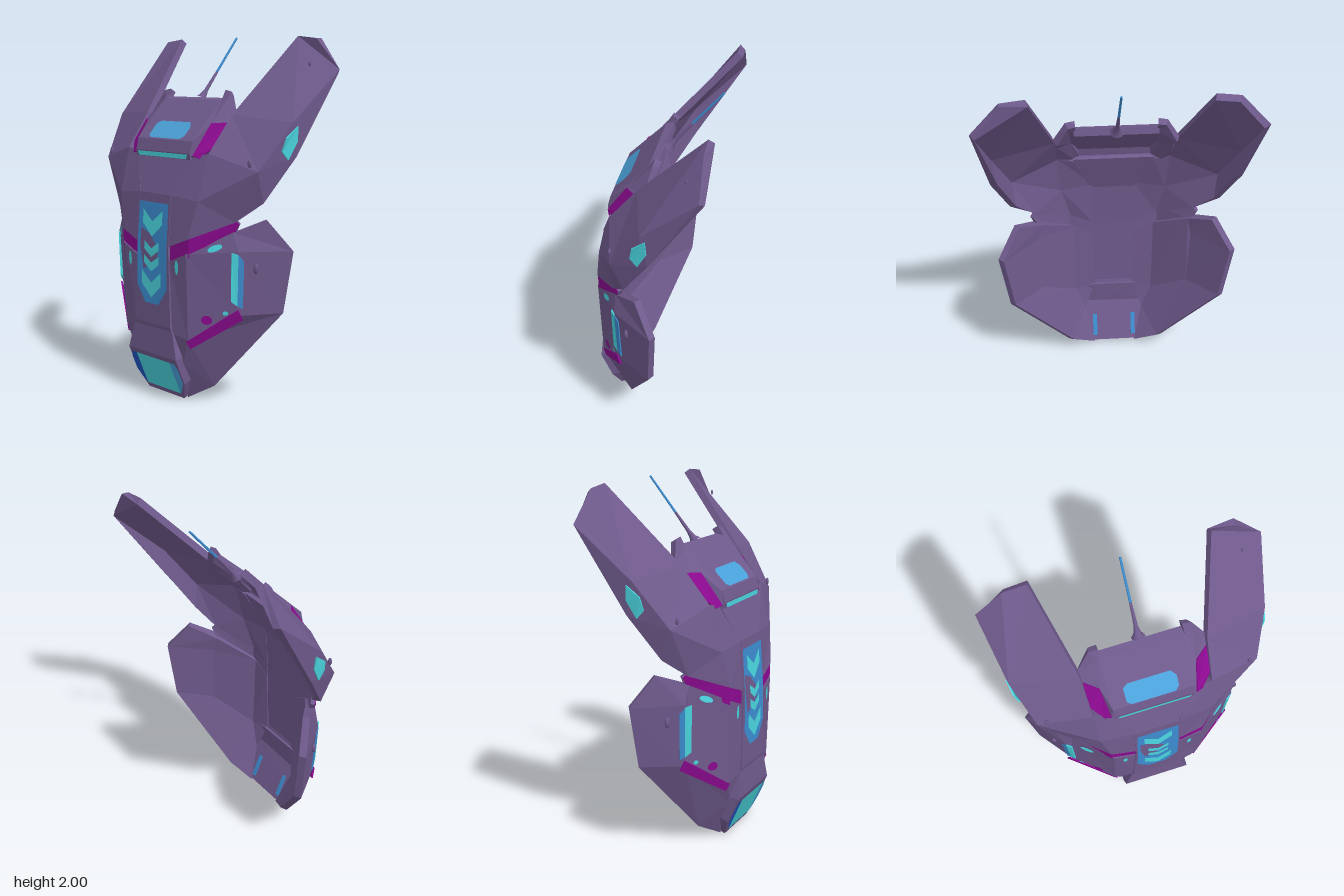
import * as THREE from 'three';

const V = (p) => new THREE.Vector3(...p);
const paint = (name, color) => {
  const m = new THREE.MeshStandardMaterial({ color });
  m.name = name;
  return m;
};

// Faceted plate: outer polygons, an inner skin offset along the normals, and rim walls.
// deep gives a greater thickness at chosen corners, which flattens the inner skin.
function plateGeometry(points, faces, thickness, deep = {}) {
  const outer = points.map(V);
  const normals = outer.map(() => new THREE.Vector3());
  const tris = [];
  const edges = new Map();
  for (const f of faces) {
    for (let i = 1; i < f.length - 1; i++) tris.push([f[0], f[i], f[i + 1]]);
    f.forEach((a, i) => edges.set(a + '_' + f[(i + 1) % f.length], [a, f[(i + 1) % f.length]]));
  }
  for (const [a, b, c] of tris) {
    const n = outer[b].clone().sub(outer[a]).cross(outer[c].clone().sub(outer[a]));
    [a, b, c].forEach((k) => normals[k].add(n));
  }
  const inner = outer.map((p, i) => p.clone().addScaledVector(normals[i].normalize(), -(deep[i] ?? thickness)));
  const pos = [];
  const tri = (...ps) => ps.forEach((p) => pos.push(p.x, p.y, p.z));
  for (const [a, b, c] of tris) {
    tri(outer[a], outer[b], outer[c]);
    tri(inner[a], inner[c], inner[b]);
  }
  for (const [a, b] of edges.values()) {
    if (edges.has(b + '_' + a)) continue;
    tri(outer[a], inner[a], inner[b]);
    tri(outer[a], inner[b], outer[b]);
  }
  const g = new THREE.BufferGeometry();
  g.setAttribute('position', new THREE.Float32BufferAttribute(pos, 3));
  g.computeVertexNormals();
  return g;
}

// Height of the plane through three points
function planeZ(a, b, c) {
  const n = V(b).sub(V(a)).cross(V(c).sub(V(a)));
  const d = n.dot(V(a));
  return (x, y) => (d - n.x * x - n.y * y) / n.z;
}

export function createModel() {
  const group = new THREE.Group();
  group.name = 'armourMask';
  const purple = paint('purple armour', 0x6f5a8c);
  const magenta = paint('magenta seam', 0x8c0a90);
  const cyan = paint('cyan light', 0x4ad6e0);
  const blue = paint('blue light', 0x3c8cd0);
  const sky = paint('sky light', 0x4aa2da);
  const deepBlue = paint('deep blue light', 0x1f55c4);

  const add = (name, geometry, material) => {
    const m = new THREE.Mesh(geometry, material);
    m.name = name;
    group.add(m);
    return m;
  };
  const pair = (name, pts, faces, t, mat, deep) => {
    add('left' + name, plateGeometry(pts, faces, t, deep), mat);
    add('right' + name, plateGeometry(pts.map(([x, y, z]) => [-x, y, z]), faces.map((f) => [...f].reverse()), t, deep), mat);
  };
  // Symmetric strip from rows of [half width, y, z], bottom to top
  const strip = (name, rows, t) => {
    const pts = rows.flatMap(([w, y, z]) => [[-w, y, z], [w, y, z]]);
    const faces = rows.slice(1).map((_, i) => [2 * i, 2 * i + 1, 2 * i + 3, 2 * i + 2]);
    add(name, plateGeometry(pts, faces, t), purple);
  };
  // Painted outline lying on a surface
  const decal = (name, pts, zOf, mat, lift = 0.006) => {
    const g = new THREE.ShapeGeometry(new THREE.Shape(pts.map(([x, y]) => new THREE.Vector2(x, y))));
    const p = g.attributes.position;
    for (let i = 0; i < p.count; i++) p.setZ(i, zOf(p.getX(i), p.getY(i)) + lift);
    g.computeVertexNormals();
    add(name, g, mat);
  };
  const decalPair = (name, pts, zOf, mat, lift) => {
    decal('left' + name, pts, zOf, mat, lift);
    decal('right' + name, pts.map(([x, y]) => [-x, y]), (x, y) => zOf(-x, y), mat, lift);
  };
  const oval = (cx, cy, rx, ry, turn = 0) => Array.from({ length: 12 }, (_, i) => {
    const a = (i / 12) * Math.PI * 2, u = rx * Math.cos(a), v = ry * Math.sin(a);
    return [cx + u * Math.cos(turn) - v * Math.sin(turn), cy + u * Math.sin(turn) + v * Math.cos(turn)];
  });

  // Upper wings
  const wing = [
    [0.13, 0.87, 0.333], [0.125, 1.15, 0.315], [0.23, 1.36, 0.235], [0.33, 1.38, 0.228],
    [0.345, 1.58, 0.07], [0.47, 2, -0.31], [0.6, 1.985, -0.31], [0.755, 1.82, -0.318],
    [0.69, 1.37, -0.06], [0.6, 1.13, 0.09], [0.48, 1.025, 0.18], [0.62, 1.3, 0.155],
    [0.7, 1.55, -0.02], [0.27, 0.925, 0.326], [0.32, 1.13, 0.295],
  ];
  pair('Wing', wing, [
    [0, 13, 14, 1], [1, 14, 3, 2], [13, 10, 14], [14, 10, 11], [14, 11, 3],
    [3, 11, 4], [4, 11, 12], [4, 12, 5], [5, 12, 7, 6],
    [10, 9, 11], [11, 9, 8], [11, 8, 12], [12, 8, 7],
  ], 0.04, purple, { 11: 0.07, 12: 0.055, 14: 0.05 });

  // Cheeks and jaw
  const cheek = [
    [0.13, 0.79, 0.332], [0.12, 0.4, 0.335], [0.26, 0.37, 0.312], [0.48, 0.52, 0.16],
    [0.5, 0.87, 0.17], [0.46, 0.97, 0.175], [0.58, 1.035, 0.04], [0.68, 0.87, -0.06],
    [0.63, 0.53, -0.04], [0.29, 0.085, 0.14], [0.15, 0, 0.21], [0.2, 0.22, 0.29], [0.26, 0.845, 0.328],
  ];
  pair('Cheek', cheek, [
    [0, 1, 2, 12], [12, 2, 3, 4, 5], [5, 4, 7, 6], [4, 3, 8, 7], [2, 11, 9, 8, 3], [11, 10, 9], [1, 11, 2],
  ], 0.04, purple, { 2: 0.05, 3: 0.065, 4: 0.07, 5: 0.055, 12: 0.045 });

  // Seam between wing and cheek: backing and coloured face
  const seam = [[0.13, 0.76, 0.318], [0.27, 0.825, 0.314], [0.46, 0.95, 0.16], [0.49, 1.015, 0.148],
    [0.465, 1.045, 0.172], [0.28, 0.96, 0.312], [0.13, 0.9, 0.318]];
  const seamFaces = [[0, 1, 5, 6], [1, 2, 3, 4, 5]];
  pair('SeamBacking', seam, seamFaces, 0.024, purple);
  pair('Seam', seam.map(([x, y, z]) => [x, y, z + 0.007]), seamFaces, 0.006, magenta);
  pair('JawSeam', [[0.25, 0.36, 0.318], [0.265, 0.32, 0.298], [0.51, 0.5, 0.145], [0.495, 0.555, 0.168]],
    [[0, 1, 2, 3]], 0.009, magenta);

  // Centre: chin, nose, brow recess, forehead
  strip('chin', [[0.15, 0, 0.238], [0.2, 0.1, 0.282], [0.2, 0.25, 0.347], [0.16, 0.4, 0.338]], 0.055);
  strip('noseStrip', [[0.155, 0.385, 0.335], [0.15, 0.42, 0.342], [0.13, 0.85, 0.338], [0.13, 1.15, 0.317]], 0.04);
  strip('browRecess', [[0.135, 1.13, 0.318], [0.235, 1.37, 0.236]], 0.04);
  strip('forehead', [[0.22, 1.342, 0.258], [0.22, 1.375, 0.262], [0.225, 1.44, 0.245],
    [0.23, 1.655, 0.035], [0.23, 1.665, -0.01]], 0.04);

  // Forehead shoulders with a magenta patch over one face
  const shoulder = [
    [0.22, 1.36, 0.258], [0.238, 1.365, 0.252], [0.275, 1.352, 0.236], [0.334, 1.415, 0.178], [0.336, 1.54, 0.08],
    [0.264, 1.535, 0.138], [0.225, 1.44, 0.245], [0.23, 1.655, 0.035], [0.345, 1.58, 0.03], [0.275, 1.7, 0], [0.225, 1.71, 0],
  ];
  const patch = [[1, 2, 3, 4, 5]];
  pair('ForeheadShoulder', shoulder, [...patch, [0, 1, 5, 6], [6, 5, 7], [5, 4, 8, 9, 7], [7, 9, 10]], 0.04, purple);
  pair('ForeheadSeam', shoulder.slice(0, 6).map(([x, y, z]) => [x, y, z + 0.007]), patch, 0.006, magenta);

  // Forehead lights
  const browZ = planeZ([0, 1.44, 0.245], [1, 1.44, 0.245], [0, 1.655, 0.035]);
  decal('foreheadLight', [[-0.145, 1.46], [-0.12, 1.447], [0.12, 1.447], [0.142, 1.465], [0.142, 1.51],
    [0.115, 1.535], [-0.12, 1.535], [-0.148, 1.52]], browZ, sky);
  decal('browStrip', [[-0.195, 1.345], [0.195, 1.345], [0.205, 1.37], [-0.205, 1.37]], () => 0.262, cyan, 0.004);

  // Nose panel with chevrons
  const noseZ = (x, y) => (y < 0.85 ? 0.342 - (y - 0.42) * 0.0093 : 0.338 - (y - 0.85) * 0.07);
  decal('nosePanel', [[-0.12, 1.1], [-0.122, 0.85], [-0.125, 0.63], [-0.055, 0.535],
    [0.055, 0.535], [0.125, 0.63], [0.122, 0.85], [0.12, 1.1]], noseZ, blue, 0.005);
  for (const [y, w, h] of [[1.0, 0.08, 0.06], [0.85, 0.06, 0.035], [0.77, 0.06, 0.035], [0.66, 0.08, 0.06]]) {
    decal('noseChevron', [[-w, y + h], [-w, y - h * 0.3], [0, y - h * 1.5], [w, y - h * 0.3], [w, y + h], [0, y - h * 0.1]],
      noseZ, cyan, 0.009);
  }

  // Chin lamp
  const chinZ = planeZ([0, 0.1, 0.282], [1, 0.1, 0.282], [0, 0.25, 0.347]);
  decal('chinLamp', [[-0.14, 0.03], [0.14, 0.03], [0.14, 0.225], [-0.14, 0.225]], chinZ, cyan);
  const lampEnd = [[0.14, 0.03], [0.17, 0.06], [0.196, 0.11], [0.196, 0.19], [0.18, 0.225], [0.14, 0.225]];
  decal('leftLampEnd', lampEnd, chinZ, sky);
  decal('rightLampEnd', lampEnd.map(([x, y]) => [-x, y]), chinZ, deepBlue);

  // Cheek lights and windows
  const cheekFrontZ = planeZ(cheek[12], cheek[2], cheek[3]);
  decalPair('CheekLight', oval(0.395, 0.885, 0.036, 0.017, 0.45), planeZ(cheek[12], cheek[4], cheek[5]), cyan, 0.009);
  decalPair('InnerCheekLight', oval(0.195, 0.765, 0.013, 0.04), planeZ(cheek[0], cheek[2], cheek[12]), cyan, 0.008);
  decalPair('CheekSpot', oval(0.35, 0.49, 0.025, 0.025), cheekFrontZ, magenta, 0.008);
  decalPair('CheekDot', oval(0.435, 0.533, 0.012, 0.012), cheekFrontZ, cyan, 0.009);
  pair('CheekWindow', [[0.474, 0.865, 0.198], [0.468, 0.6, 0.192], [0.489, 0.575, 0.165], [0.502, 0.855, 0.173]],
    [[0, 1, 2, 3]], 0.009, cyan);
  pair('CheekWindowSide', [[0.502, 0.855, 0.173], [0.489, 0.575, 0.165], [0.507, 0.56, 0.142], [0.52, 0.82, 0.148]],
    [[0, 1, 2, 3]], 0.009, blue);

  // Wing side lights
  pair('WingLight', [[0.678, 1.4, 0.035], [0.684, 1.355, -0.005], [0.703, 1.45, -0.055],
    [0.71, 1.53, -0.05], [0.696, 1.47, 0.02]], [[0, 1, 2, 3, 4]], 0.009, cyan);

  for (const s of [-1, 1]) {
    // Studs on cheeks and wings
    for (const [x, y, z, r] of [[0.555, 0.78, 0.095, 0.025], [0.57, 1.34, 0.165, 0.018], [0.62, 1.85, -0.235, 0.012]]) {
      const stud = add('stud', new THREE.SphereGeometry(r, 10, 6), purple);
      stud.position.set(s * x, y, z);
      stud.scale.set(0.7, 1.2, 0.5);
    }
    // Slits inside the chin
    const slit = add('innerSlit', new THREE.BoxGeometry(0.026, 0.14, 0.009), blue);
    slit.position.set(s * 0.12, 0.115, 0.227);
    slit.rotation.x = 0.41;
  }

  // Antenna with flared foot and lit tip
  const antenna = new THREE.Group();
  antenna.name = 'antenna';
  const profile = [[0.038, 0], [0.02, 0.025], [0.011, 0.07], [0.007, 0.2]].map(([r, y]) => new THREE.Vector2(r, y));
  const mast = new THREE.Mesh(new THREE.LatheGeometry(profile, 10), purple);
  mast.name = 'antennaMast';
  const tip = new THREE.Mesh(new THREE.CylinderGeometry(0.006, 0.007, 0.25, 8), blue);
  tip.name = 'antennaTip';
  tip.position.y = 0.325;
  antenna.add(mast, tip);
  antenna.position.set(0, 1.65, -0.025);
  antenna.rotation.x = -0.69;
  group.add(antenna);

  return group;
}
